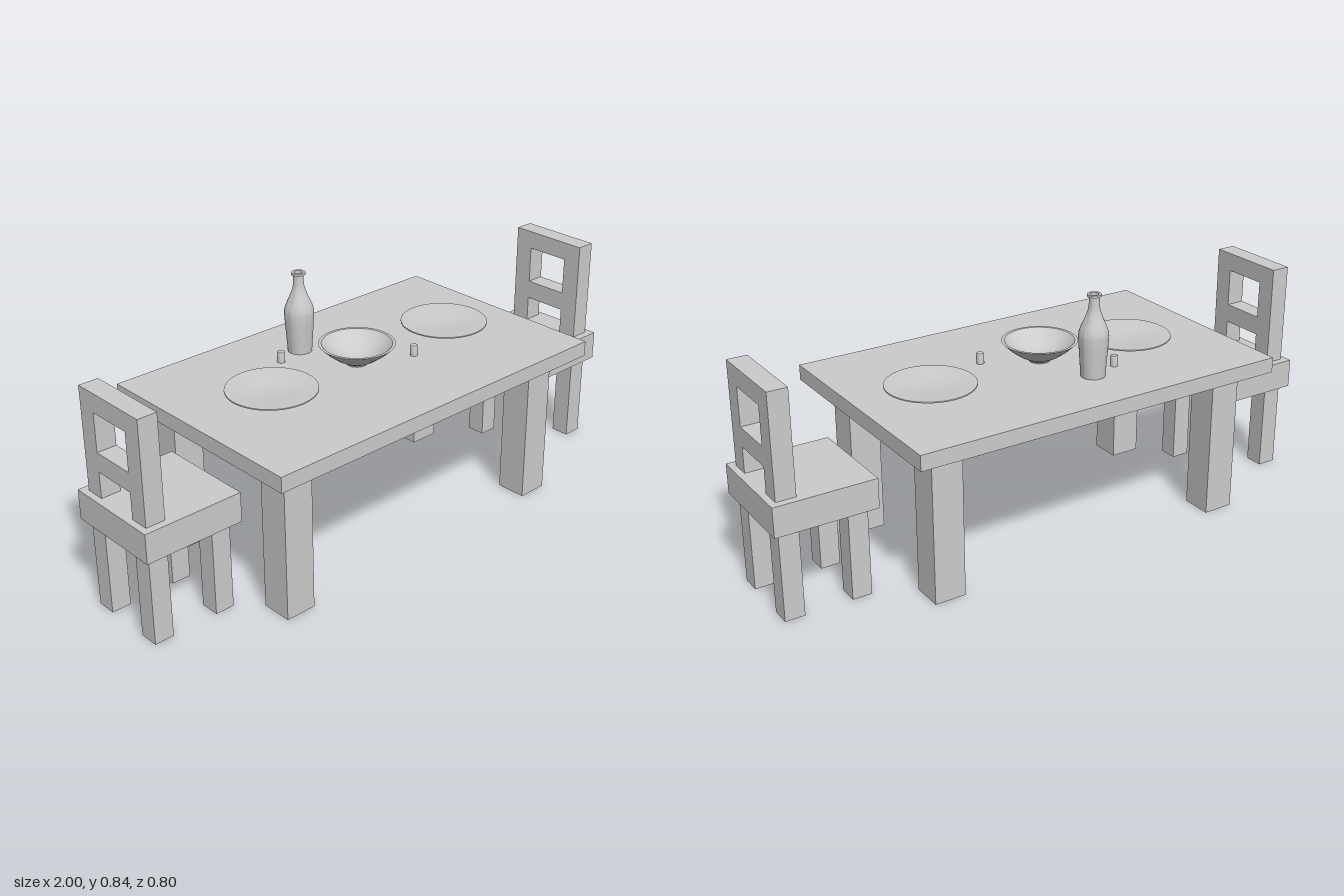
import * as THREE from 'three';
import { toCreasedNormals } from 'three/addons/utils/BufferGeometryUtils.js';

const material = new THREE.MeshStandardMaterial({ color: 0xcccccc });

// Box given by its limits on each axis
function box(parent, name, [x0, x1], [y0, y1], [z0, z1]) {
  const mesh = new THREE.Mesh(new THREE.BoxGeometry(x1 - x0, y1 - y0, z1 - z0), material);
  mesh.name = name;
  mesh.position.set((x0 + x1) / 2, (y0 + y1) / 2, (z0 + z1) / 2);
  parent.add(mesh);
}

// Turned part from [radius, height] pairs, outer side from the bottom up
function turned(parent, name, profile, x, z, y = 0.562) {
  const points = profile.map(([r, h]) => new THREE.Vector2(r, h));
  const geometry = toCreasedNormals(new THREE.LatheGeometry(points, 40), 0.6);
  const mesh = new THREE.Mesh(geometry, material);
  mesh.name = name;
  mesh.position.set(x, y, z);
  parent.add(mesh);
}

// Table with four square legs
function makeTable() {
  const table = new THREE.Group();
  table.name = 'table';
  box(table, 'tableTop', [-0.69, 0.635], [0.508, 0.56], [-0.4, 0.4]);
  for (const x of [-0.562, 0.503])
    for (const z of [-0.266, 0.266])
      box(table, 'tableLeg', [x - 0.053, x + 0.053], [0, 0.508], [z - 0.053, z + 0.053]);
  return table;
}

// Chair on the side given by sign, its back towards the outside
function makeChair(name, side, z) {
  const chair = new THREE.Group();
  chair.name = name;
  const w = 0.033;
  box(chair, 'seat', [-0.17, 0.17], [0.302, 0.402], [-0.17, 0.17]);
  const back = side * 0.115, front = -side * 0.11;
  for (const pz of [-0.111, 0.111]) {
    box(chair, 'frontLeg', [front - w, front + w], [0, 0.302], [pz - w, pz + w]);
    box(chair, 'rearLeg', [back - w, back + w], [0, 0.302], [pz - w, pz + w]);
    box(chair, 'backPost', [back - w, back + w], [0.402, 0.747], [pz - w, pz + w]);
  }
  // Cross rails between the posts
  for (const [y0, y1] of [[0.49, 0.555], [0.684, 0.747]])
    box(chair, 'backRail', [back - w, back + w], [y0, y1], [-0.078, 0.078]);
  chair.position.set(side * 0.83, 0, z);
  return chair;
}

export function createModel() {
  const model = new THREE.Group();
  model.name = 'diningSet';
  model.add(makeTable(), makeChair('leftChair', 1, -0.01), makeChair('rightChair', -1, 0.003));

  // Shallow plates on a small foot
  const plate = [[0, 0], [0.042, 0], [0.045, 0.005], [0.08, 0.012], [0.147, 0.017], [0.147, 0.021],
    [0.11, 0.018], [0.075, 0.013], [0.04, 0.009], [0, 0.008]];
  for (const x of [-0.382, 0.38]) turned(model, 'plate', plate, x, -0.012);

  // Bowl with a flat lip
  const bowl = [[0, 0], [0.035, 0], [0.038, 0.006], [0.068, 0.022], [0.098, 0.044], [0.125, 0.07],
    [0.115, 0.07], [0.092, 0.046], [0.064, 0.027], [0.034, 0.014], [0, 0.01]];
  turned(model, 'bowl', bowl, -0.037, 0.003);

  // Bottle with an open neck
  const bottle = [[0, 0], [0.04, 0], [0.043, 0.045], [0.047, 0.1], [0.049, 0.135], [0.048, 0.147],
    [0.042, 0.166], [0.031, 0.19], [0.022, 0.214], [0.0175, 0.232], [0.0165, 0.266],
    [0.023, 0.267], [0.023, 0.274], [0.014, 0.274], [0.013, 0.23], [0, 0.225]];
  turned(model, 'bottle', bottle, -0.107, -0.198);

  // Salt and pepper shakers
  const shaker = [[0, 0], [0.013, 0], [0.013, 0.033], [0.011, 0.036], [0, 0.037]];
  turned(model, 'shaker', shaker, -0.211, -0.17);
  turned(model, 'shaker', shaker, 0.139, 0.086);
  return model;
}
